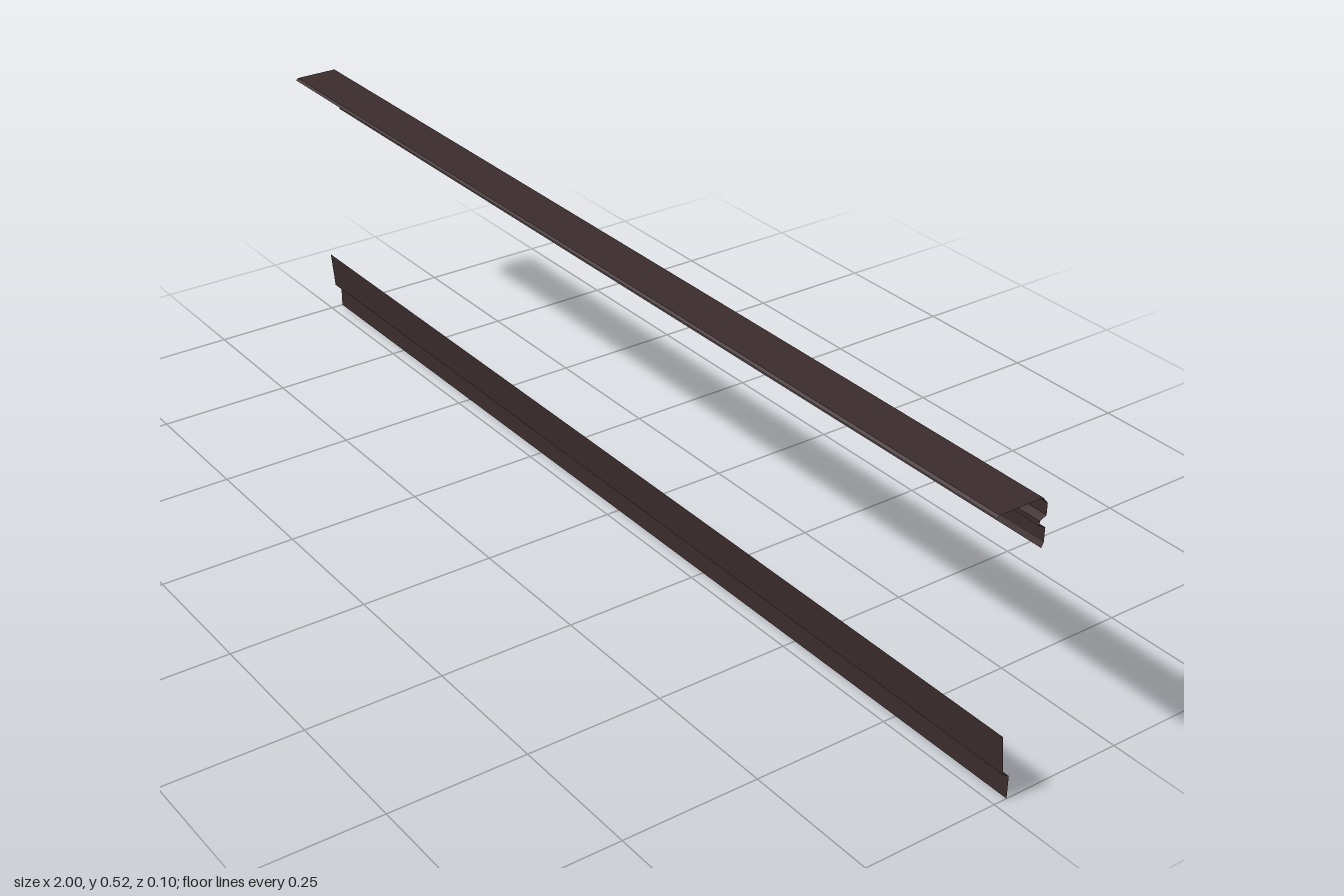
import * as THREE from 'three';

// Sweeps an open [z, y] cross-section along x as a thin folded sheet
function foldedSheet(name, profile, material, halfLength = 1) {
  const positions = [];
  for (let i = 0; i < profile.length - 1; i++) {
    const [z0, y0] = profile[i];
    const [z1, y1] = profile[i + 1];
    const a = [-halfLength, y0, z0], b = [halfLength, y0, z0];
    const c = [halfLength, y1, z1], d = [-halfLength, y1, z1];
    positions.push(...a, ...d, ...c, ...a, ...c, ...b);
  }
  const geometry = new THREE.BufferGeometry();
  geometry.setAttribute('position', new THREE.Float32BufferAttribute(positions, 3));
  geometry.computeVertexNormals(); // unshared corners keep the folds crisp
  const mesh = new THREE.Mesh(geometry, material);
  mesh.name = name;
  return mesh;
}

export function createModel() {
  const group = new THREE.Group();
  group.name = 'trimRails';
  const darkBrown = new THREE.MeshStandardMaterial({ color: 0x3b2b2c, side: THREE.DoubleSide });
  darkBrown.name = 'dark brown';

  // Upper rail: flat ledge, bevelled back edge and a grooved back wall
  group.add(foldedSheet('upperRail', [
    [0.048, 0.516], [0.044, 0.52], [-0.038, 0.52], [-0.048, 0.508],
    [-0.048, 0.488], [-0.036, 0.482], [-0.036, 0.474], [-0.048, 0.468],
    [-0.048, 0.443], [-0.044, 0.435],
  ].reverse(), darkBrown).rotateY(0));

  // Lower board: slightly leaning face, small step and upright foot
  group.add(foldedSheet('lowerBoard', [
    [-0.005, 0.122], [-0.012, 0.05], [-0.025, 0.042], [-0.025, 0],
  ], darkBrown));

  return group;
}
